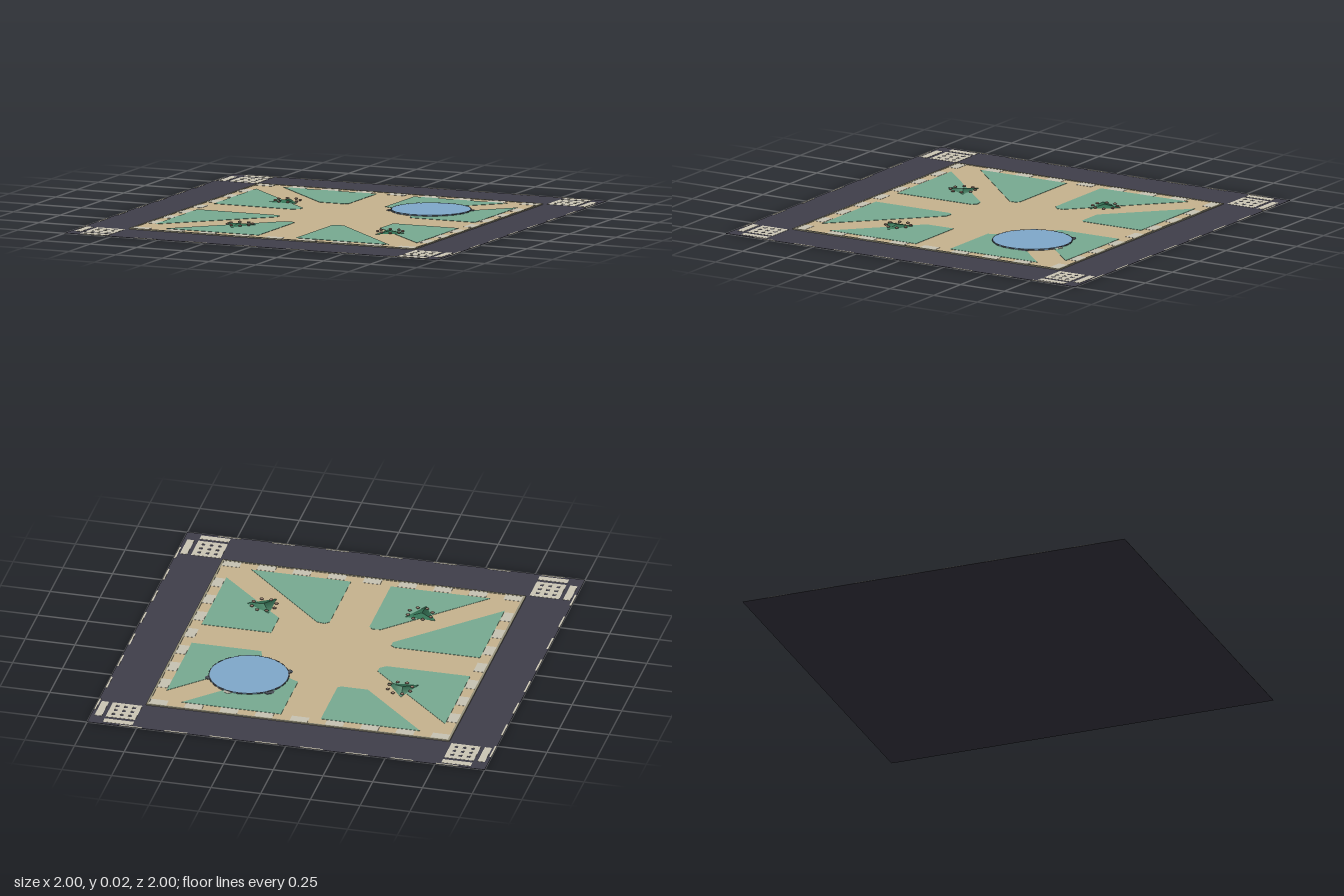
import * as THREE from 'three';

const mat = (name, color) => {
  const m = new THREE.MeshStandardMaterial({ color });
  m.name = name;
  return m;
};

export function createModel() {
  const group = new THREE.Group();
  const asphalt = mat('asphalt', 0x403f4b);
  const paint = mat('roadPaint', 0xcdc8b6);
  const sand = mat('sandPaving', 0xc8b48f);
  const pale = mat('paleStone', 0xc9c4b4);
  const kerbStone = mat('kerbStone', 0x97927c);
  const grass = mat('grass', 0x78ab92);
  const water = mat('water', 0x80a9cc);
  const rock = mat('darkRock', 0x4a5058);
  const leaf = mat('foliage', 0x38795a);
  const bud = mat('blossom', 0x8c7465);

  const add = (name, geo, material, x = 0, y = 0, z = 0) => {
    const mesh = new THREE.Mesh(geo, material);
    mesh.name = name;
    mesh.position.set(x, y, z);
    group.add(mesh);
    return mesh;
  };
  // Box given by its centre in plan and its bottom and top heights
  const slab = (name, material, x, z, w, d, y0, y1) =>
    add(name, new THREE.BoxGeometry(w, y1 - y0, d), material, x, (y0 + y1) / 2, z);

  // Road plate and raised square
  slab('road', asphalt, 0, 0, 2, 2, 0, 0.0015);
  slab('plaza', sand, 0, 0, 1.52, 1.52, 0.001, 0.005);

  // Kerb around the square
  for (const s of [-1, 1]) {
    slab('kerb', kerbStone, 0, s * 0.758, 1.526, 0.011, 0.001, 0.007);
    slab('kerb', kerbStone, s * 0.758, 0, 0.011, 1.505, 0.001, 0.007);
  }

  // Alternating pale pavers inside the kerb
  const cell = 1.506 / 17;
  for (let i = 0; i < 17; i += 2) {
    const p = -0.753 + cell * (i + 0.5);
    for (const s of [-1, 1]) {
      slab('borderPaver', pale, p, s * 0.727, cell, 0.051, 0.004, 0.006);
      if (i > 0 && i < 16) slab('borderPaver', pale, s * 0.727, p, 0.051, cell, 0.004, 0.006);
    }
  }

  // Corner crossings and stop lines
  for (const sx of [-1, 1]) for (const sz of [-1, 1]) {
    for (let i = 0; i < 4; i++) {
      const p = 0.789 + i * 0.0415;
      slab('crossingStripe', paint, sx * p, sz * 0.852, 0.024, 0.148, 0.001, 0.0025);
      slab('crossingStripe', paint, sx * 0.851, sz * p, 0.148, 0.024, 0.001, 0.0025);
    }
    slab('stopLine', paint, sx * 0.851, sz * 0.963, 0.148, 0.036, 0.001, 0.0025);
    slab('stopLine', paint, sx * 0.963, sz * 0.851, 0.036, 0.148, 0.001, 0.0025);
  }

  // Lane dashes on the outer edges
  for (let i = 0; i < 8; i++) {
    const p = -0.81 + i * 0.2275;
    slab('laneDash', paint, p, -0.995, 0.114, 0.01, 0.001, 0.0025);
    for (const s of [-1, 1]) slab('laneDash', paint, s * 0.995, p, 0.01, 0.114, 0.001, 0.0025);
    if (i < 7) slab('laneDash', paint, -0.84 + i * 0.271, 0.995, 0.114, 0.01, 0.001, 0.0025);
  }

  // Eight lawns, outlined in plan as x, z
  const lawns = [
    [[-0.6, -0.7], [-0.1, -0.7], [-0.1, -0.37], [-0.115, -0.355], [-0.25, -0.355]],
    [[-0.7, -0.6], [-0.25, -0.16], [-0.25, -0.125], [-0.28, -0.1], [-0.7, -0.1]],
    [[-0.7, 0.095], [-0.27, 0.095], [-0.25, 0.11], [-0.25, 0.145], [-0.7, 0.59]],
    [[-0.6, 0.695], [-0.16, 0.255], [-0.12, 0.25], [-0.1, 0.27], [-0.1, 0.695]],
    [[0.1, 0.695], [0.1, 0.27], [0.12, 0.25], [0.16, 0.255], [0.6, 0.695]],
    [[0.35, 0.095], [0.7, 0.095], [0.7, 0.59], [0.35, 0.25]],
    [[0.1, -0.7], [0.6, -0.7], [0.25, -0.35], [0.16, -0.33], [0.1, -0.36]],
    [[0.7, -0.6], [0.7, -0.1], [0.35, -0.1], [0.33, -0.16], [0.35, -0.25]],
  ];
  for (const pts of lawns) {
    const shape = new THREE.Shape(pts.map(([x, z]) => new THREE.Vector2(x, -z)));
    const geo = new THREE.ExtrudeGeometry(shape, { depth: 0.0025, bevelEnabled: false });
    add('lawn', geo.rotateX(-Math.PI / 2), grass, 0, 0.004, 0);
  }

  // Pond with a broken dark rim and stones on the bank
  const px = 0.348, pz = -0.355;
  add('pond', new THREE.CylinderGeometry(0.194, 0.194, 0.008, 48), water, px, 0.008, pz);
  for (let i = 0; i < 24; i++) {
    const a = (i / 24) * Math.PI * 2;
    const rim = new THREE.BoxGeometry(0.005, 0.0085, 0.03);
    add('pondRim', rim, rock, px + Math.cos(a) * 0.194, 0.0083, pz + Math.sin(a) * 0.194).rotation.y = -a;
  }
  for (const [x, z, r, m] of [[0.215, -0.495, 0.03, rock], [0.17, -0.27, 0.022, rock],
    [0.405, -0.54, 0.024, pale], [0.53, -0.425, 0.022, rock]]) {
    add('bankStone', new THREE.DodecahedronGeometry(r, 0), m, x, 0.007, z).scale.y = 0.15;
  }

  // Flattened shrubs: pressed three-sided cones that keep their steep smooth shading
  for (const [x, z, turn, rx, rz] of [[-0.412, -0.3, Math.PI * 1.04, -0.4, -0.31],
    [-0.318, 0.453, 0, -0.31, 0.45], [0.453, 0.358, Math.PI / 2, 0.45, 0.352]]) {
    const geo = new THREE.ConeGeometry(0.09, 0.08, 3, 1, false, turn);
    const pos = geo.attributes.position;
    for (let i = 0; i < pos.count; i++) pos.setY(i, 0.006 + (pos.getY(i) + 0.04) * 0.13);
    add('shrub', geo, leaf, x, 0, z);
    // Ring of blossoms
    for (let i = 0; i < 8; i++) {
      const a = (i / 8) * Math.PI * 2 + 0.35;
      const ball = new THREE.SphereGeometry(0.0095, 10, 6);
      add('blossom', ball, bud, rx + Math.cos(a) * 0.061, 0.013, rz + Math.sin(a) * 0.061).scale.y = 0.5;
    }
  }
  return group;
}
